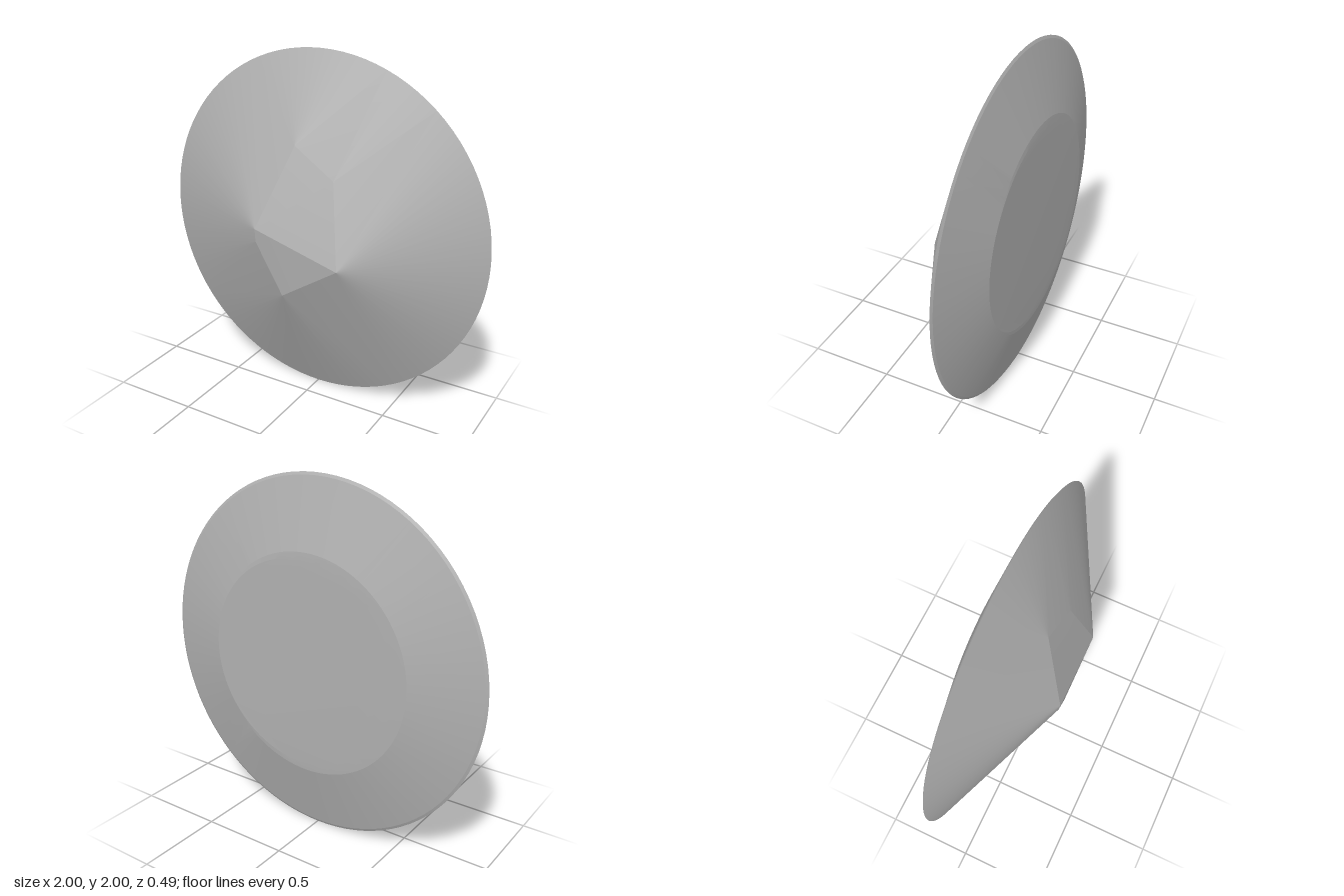
import * as THREE from 'three';
import { ConvexGeometry } from 'three/addons/geometries/ConvexGeometry.js';
import { toCreasedNormals } from 'three/addons/utils/BufferGeometryUtils.js';

const SEGMENTS = 96;

// Points of a circle facing along z
function ring(radius, z, cx = 0) {
  const points = [];
  for (let i = 0; i < SEGMENTS; i++) {
    const a = (i / SEGMENTS) * Math.PI * 2;
    points.push(new THREE.Vector3(cx + Math.cos(a) * radius, 1 + Math.sin(a) * radius, z));
  }
  return points;
}

export function createModel() {
  const group = new THREE.Group();
  group.name = 'facetedDisc';

  const grey = new THREE.MeshStandardMaterial({ color: 0xb0b0b0 });
  grey.name = 'stone grey';

  // Irregular crown of corners on the front
  const crown = [
    [-0.18, 1.085, 0.243],
    [-0.18, 1.01, 0.236],
    [0.31, 0.94, 0.228],
    [-0.03, 0.715, 0.212],
    [0.03, 0.66, 0.175],
    [0.22, 1.38, 0.107],
    [-0.02, 1.53, 0.09],
  ].map((p) => new THREE.Vector3(...p));

  // Sharp rim, narrow bevel, and flat back with a slightly offset inner face
  const outline = [
    ...ring(1, -0.137),
    ...ring(0.985, -0.145),
    ...ring(0.615, -0.241),
    ...ring(0.575, -0.244, 0.035),
  ];

  // The body is the tight skin around the crown, rim and back
  const geometry = toCreasedNormals(new ConvexGeometry([...crown, ...outline]), 0.1);
  const body = new THREE.Mesh(geometry, grey);
  body.name = 'discBody';
  group.add(body);

  return group;
}
